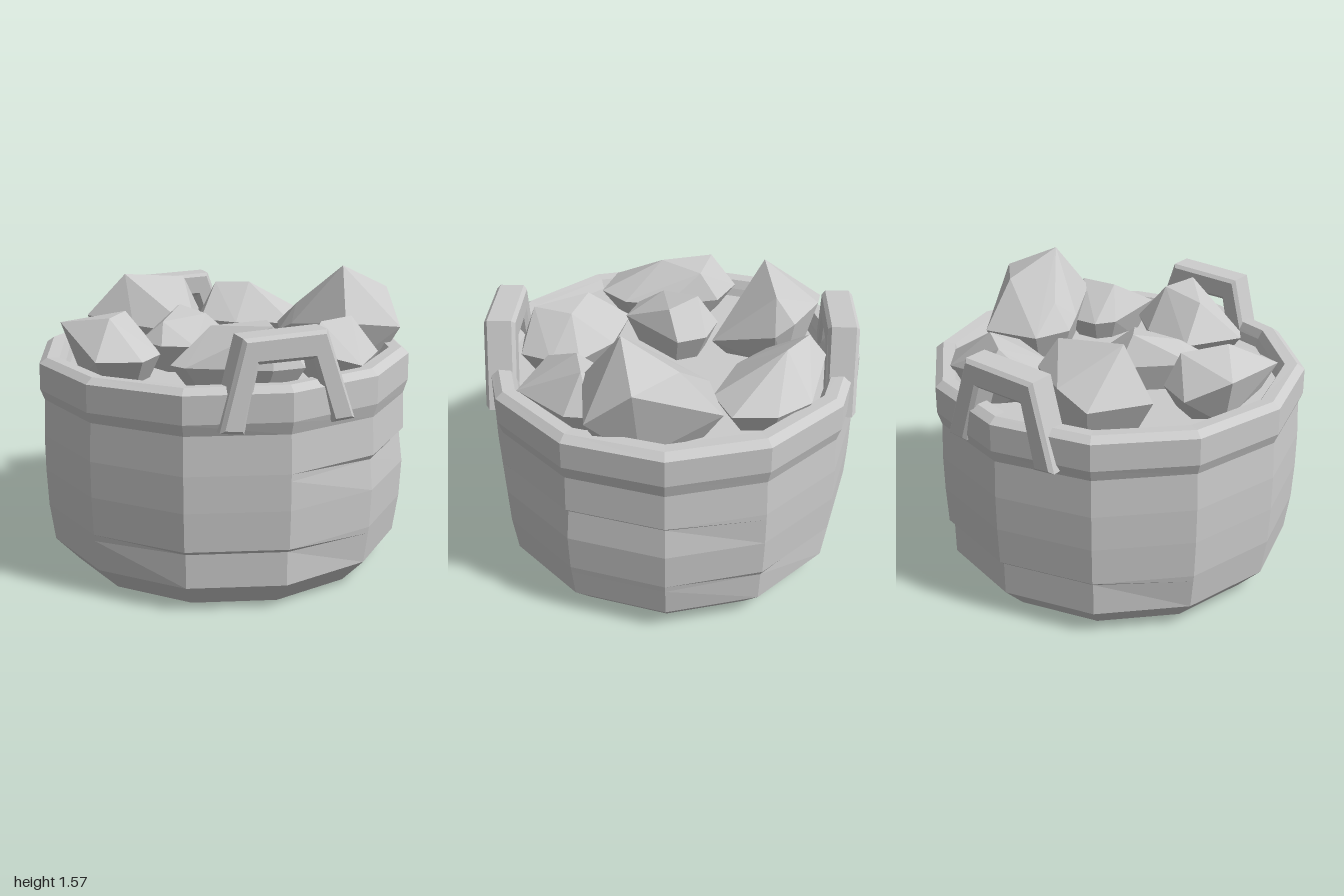
import * as THREE from 'three';
import { ConvexGeometry } from 'three/addons/geometries/ConvexGeometry.js';

const SIDES = 12;

export function createModel() {
  const group = new THREE.Group();
  const mat = new THREE.MeshStandardMaterial({ color: 0xcccccc, flatShading: true });
  const add = (geo, name) => {
    const mesh = new THREE.Mesh(geo, mat);
    mesh.name = name;
    group.add(mesh);
    return mesh;
  };

  // Depth of the worn grooves at each of the 12 staves, counted from the front towards +x
  const lowGroove = [1, 0, 0, 0, 0.5, 1, 1, 1, 0, 0, 0, 1];
  const midGroove = [0, 0.8, 1, 1, 0, 0, 0, 0, 0, 0, 0, 0];

  // Rings: height, corner radius, tilt of the rim, optional groove cut
  const rings = [
    { y: 0.005, r: 0 },
    { y: 0.005, r: 0.825 },
    { y: 0.14, r: 0.95 },
    { y: 0.305, r: 0.972, cut: lowGroove },
    { y: 0.34, r: 0.977 },
    { y: 0.54, r: 0.985 },
    { y: 0.69, r: 0.985, cut: midGroove },
    { y: 0.725, r: 0.985 },
    { y: 0.92, r: 0.975 },
    { y: 0.985, r: 0.997, tilt: 0.01 },
    { y: 1.125, r: 0.995, tilt: 0.012 },
    { y: 1.155, r: 0.955, tilt: 0.014 },
    { y: 1.15, r: 0.89, tilt: 0.014 },
    { y: 1.1, r: 0.865, tilt: 0.01 },
    { y: 1.05, r: 0.85 },
    { y: 1.05, r: 0 },
  ];

  // Bucket with rim and inner floor, one loft from the base centre to the floor centre
  const pos = [];
  const index = [];
  rings.forEach(({ y, r, tilt = 0, cut }, j) => {
    for (let k = 0; k < SIDES; k++) {
      const a = (k / SIDES) * Math.PI * 2;
      const depth = cut ? cut[k] : 0;
      const rad = r - 0.022 * depth;
      const lift = cut ? 0.012 * depth : 0;
      pos.push(Math.sin(a) * rad, y + lift + tilt * Math.sin(a), Math.cos(a) * rad);
      if (j === rings.length - 1) continue;
      const p = j * SIDES + k;
      const q = j * SIDES + ((k + 1) % SIDES);
      if (r > 0) index.push(p, q, p + SIDES);
      if (rings[j + 1].r > 0) index.push(q, q + SIDES, p + SIDES);
    }
  });
  const bucket = new THREE.BufferGeometry();
  bucket.setAttribute('position', new THREE.Float32BufferAttribute(pos, 3));
  bucket.setIndex(index);
  bucket.computeVertexNormals();
  add(bucket, 'bucket');

  // Two arched handles, front and back
  const b = 0.018;
  const arch = new THREE.Shape(
    [[-0.32, 0.96], [-0.235, 0.95], [-0.165, 1.275], [0.13, 1.28], [0.235, 0.965], [0.32, 0.97], [0.175, 1.38], [-0.215, 1.365]]
      .map(([x, y]) => new THREE.Vector2(x, y)));
  const handleGeo = new THREE.ExtrudeGeometry(arch, {
    depth: 0.125, bevelEnabled: true, bevelSize: b, bevelThickness: b, bevelSegments: 1,
  });
  handleGeo.translate(0, 0, 0.81);
  add(handleGeo, 'frontHandle');
  // The back handle keeps the same lean in x, so its geometry is reflected in z
  const backGeo = handleGeo.clone().toNonIndexed();
  const bp = backGeo.attributes.position;
  for (let i = 0; i < bp.count; i += 3) {
    const t = [0, 2, 1].map((o) => [bp.getX(i + o), bp.getY(i + o), -bp.getZ(i + o)]);
    t.forEach((v, o) => bp.setXYZ(i + o, ...v));
  }
  backGeo.computeVertexNormals();
  add(backGeo, 'backHandle');

  // Faceted rock: outline [x, z, height = mid] seen from above, plus peaks; the base narrows below
  const rock = (name, mid, outline, peaks) => {
    const n = outline.length;
    const cx = outline.reduce((s, p) => s + p[0], 0) / n;
    const cz = outline.reduce((s, p) => s + p[1], 0) / n;
    const points = [...outline, ...peaks].map(([x, z, y = mid]) => new THREE.Vector3(x, y, z));
    for (const [x, z] of outline) {
      points.push(new THREE.Vector3(cx + (x - cx) * 0.65, 1.0, cz + (z - cz) * 0.65));
    }
    add(new ConvexGeometry(points), name);
  };

  rock('backLeftRock', 1.24,
    [[-0.62, -0.54], [-0.44, -0.81], [-0.24, -0.78, 1.3], [0, -0.64, 1.3], [0.04, -0.54], [-0.07, -0.21, 1.15], [-0.4, -0.37, 1.2]],
    [[-0.41, -0.49, 1.47], [-0.05, -0.54, 1.43]]);
  rock('backRightRock', 1.18,
    [[0.04, -0.5], [0.06, -0.6], [0.21, -0.79, 1.25], [0.55, -0.7], [0.68, -0.53], [0.69, -0.31], [0.5, -0.22], [0.2, -0.34]],
    [[0.37, -0.58, 1.37], [0.2, -0.7, 1.36]]);
  rock('rightRock', 1.2,
    [[0.33, 0], [0.4, -0.2], [0.7, -0.27], [0.9, 0.15, 1.43], [0.87, 0.38, 1.25], [0.53, 0.42, 1.3], [0.36, 0.1, 1.25]],
    [[0.6, 0.22, 1.57], [0.7, -0.06, 1.44], [0.43, 0.0, 1.34]]);
  rock('leftRock', 1.18,
    [[-0.84, -0.2, 1.28], [-0.66, -0.34], [-0.47, -0.24], [-0.4, 0.05], [-0.43, 0.28], [-0.56, 0.42], [-0.78, 0.35]],
    [[-0.64, 0.08, 1.34], [-0.5, -0.14, 1.33]]);
  rock('middleRock', 1.2,
    [[-0.47, 0.03], [-0.19, -0.24], [-0.02, -0.18], [0.04, -0.03], [-0.24, 0.26], [-0.4, 0.2]],
    [[-0.2, -0.13, 1.35], [-0.1, 0.02, 1.32], [-0.35, 0.06, 1.3]]);
  rock('frontLeftRock', 1.18,
    [[-0.45, 0.52], [-0.28, 0.24], [0.02, 0.31], [0.2, 0.47], [0.21, 0.62], [0.15, 0.78], [-0.02, 0.79], [-0.4, 0.6]],
    [[-0.22, 0.46, 1.35], [0.05, 0.52, 1.37], [0, 0.72, 1.38]]);
  rock('frontRightRock', 1.16,
    [[0.22, 0.63, 1.22], [0.27, 0.34], [0.34, 0.24], [0.5, 0.23], [0.69, 0.36], [0.68, 0.5], [0.46, 0.76]],
    [[0.37, 0.46, 1.33], [0.56, 0.42, 1.34]]);

  return group;
}
